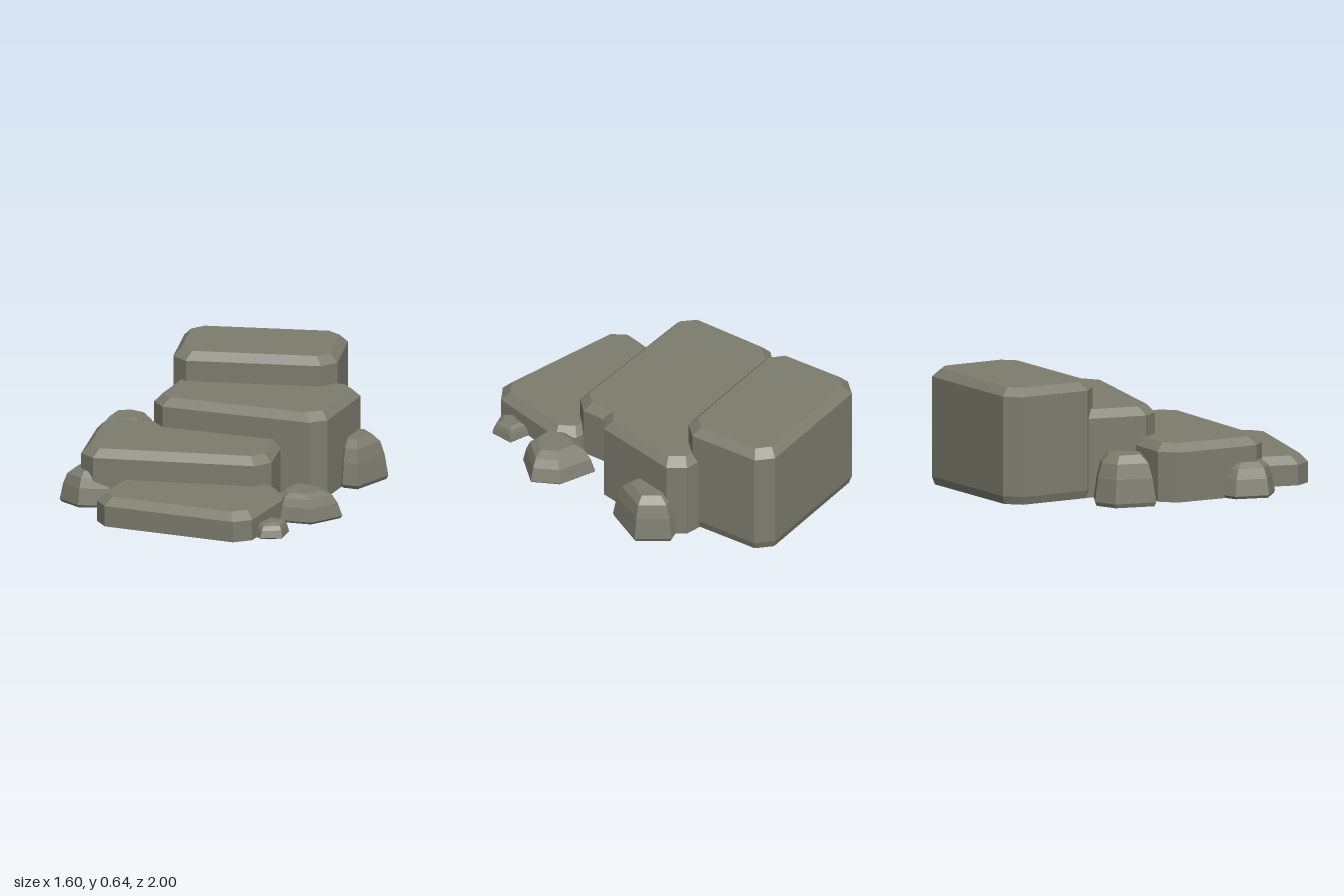
import * as THREE from 'three';

const stone = new THREE.MeshStandardMaterial({ color: 0x7c7c6e, flatShading: true });
stone.name = 'stone';

// Closed solid through stacked rings { y, pts: [[x, z], ...] }, listed bottom to top
function loft(rings) {
  const n = rings[0].pts.length;
  const pos = [], idx = [];
  for (const { y, pts } of rings) for (const [x, z] of pts) pos.push(x, y, z);
  for (let r = 0; r < rings.length - 1; r++) {
    for (let i = 0; i < n; i++) {
      const j = (i + 1) % n, a = r * n, b = a + n;
      idx.push(a + i, b + i, a + j, a + j, b + i, b + j);
    }
  }
  const top = (rings.length - 1) * n;
  for (let i = 1; i < n - 1; i++) {
    idx.push(0, i, i + 1);
    idx.push(top, top + i + 1, top + i);
  }
  const g = new THREE.BufferGeometry();
  g.setAttribute('position', new THREE.Float32BufferAttribute(pos, 3));
  g.setIndex(idx);
  const flat = g.toNonIndexed();
  flat.computeVertexNormals();
  return flat;
}

// Rectangle with cut corners
function octagon(w, d, inset, cut) {
  const a = w / 2 - inset, b = d / 2 - inset, c = cut;
  return [[a, -b + c], [a, b - c], [a - c, b], [-a + c, b],
    [-a, b - c], [-a, -b + c], [-a + c, -b], [a - c, -b]];
}

// Step slab with cut corners and a bevelled top
function slab({ w, d, h, foot }) {
  const rings = [
    { y: foot ? 0.045 : 0, pts: octagon(w, d, 0, 0.08) },
    { y: h - 0.045, pts: octagon(w, d, 0, 0.08) },
    { y: h, pts: octagon(w, d, 0.042, 0.066) },
  ];
  if (foot) rings.unshift({ y: 0, pts: octagon(w, d, 0.014, 0.075) });
  return loft(rings);
}

// Boulder: a ground outline drawn in towards its crown
const rockProfile = [[0, 0.94], [0.08, 1], [0.55, 0.89], [0.84, 0.76], [1, 0.52]];
function rock({ outline, h, crown: [cx, cz] }) {
  return loft(rockProfile.map(([t, s]) => ({
    y: t * h,
    pts: outline.map(([x, z]) => [cx + (x - cx) * s, cz + (z - cz) * s]),
  })));
}

const slabs = [
  { name: 'firstStep', w: 0.92, d: 0.62, h: 0.16, x: -0.015, z: 0.642, turn: -0.13 },
  { name: 'secondStep', w: 1.05, d: 0.65, h: 0.32, x: -0.19, z: 0.185, turn: 0.105 },
  { name: 'thirdStep', w: 1.01, d: 0.66, h: 0.48, x: 0.093, z: -0.266, turn: -0.087 },
  { name: 'topStep', w: 0.9, d: 0.57, h: 0.64, x: -0.005, z: -0.668, turn: 0.14, foot: true },
];

const rocks = [
  { name: 'backLeftRock', h: 0.255, crown: [0.62, -0.35],
    outline: [[0.66, -0.55], [0.795, -0.4], [0.695, -0.15], [0.605, -0.16], [0.5, -0.3], [0.53, -0.5]] },
  { name: 'frontLeftRock', h: 0.155, crown: [0.54, 0.44],
    outline: [[0.457, 0.195], [0.675, 0.255], [0.765, 0.39], [0.64, 0.56], [0.46, 0.56], [0.39, 0.45], [0.4, 0.33]] },
  { name: 'smallRock', h: 0.08, crown: [0.49, 0.79],
    outline: [[0.44, 0.7], [0.56, 0.725], [0.56, 0.86], [0.45, 0.905], [0.4, 0.85]] },
  { name: 'backRightRock', h: 0.28, crown: [-0.655, -0.29],
    outline: [[-0.775, -0.39], [-0.655, -0.46], [-0.5, -0.4], [-0.53, -0.22], [-0.62, -0.1], [-0.8, -0.16]] },
  { name: 'frontRightRock', h: 0.19, crown: [-0.64, 0.45],
    outline: [[-0.775, 0.32], [-0.69, 0.27], [-0.52, 0.36], [-0.49, 0.56], [-0.67, 0.6], [-0.8, 0.51]] },
];

export function createModel() {
  const model = new THREE.Group();
  model.name = 'stoneSteps';

  // Four slabs rising towards the back, each slightly turned
  for (const s of slabs) {
    const mesh = new THREE.Mesh(slab(s), stone);
    mesh.name = s.name;
    mesh.position.set(s.x, 0, s.z);
    mesh.rotation.y = s.turn;
    model.add(mesh);
  }

  // Boulders along the sides
  for (const r of rocks) {
    const mesh = new THREE.Mesh(rock(r), stone);
    mesh.name = r.name;
    model.add(mesh);
  }
  return model;
}
